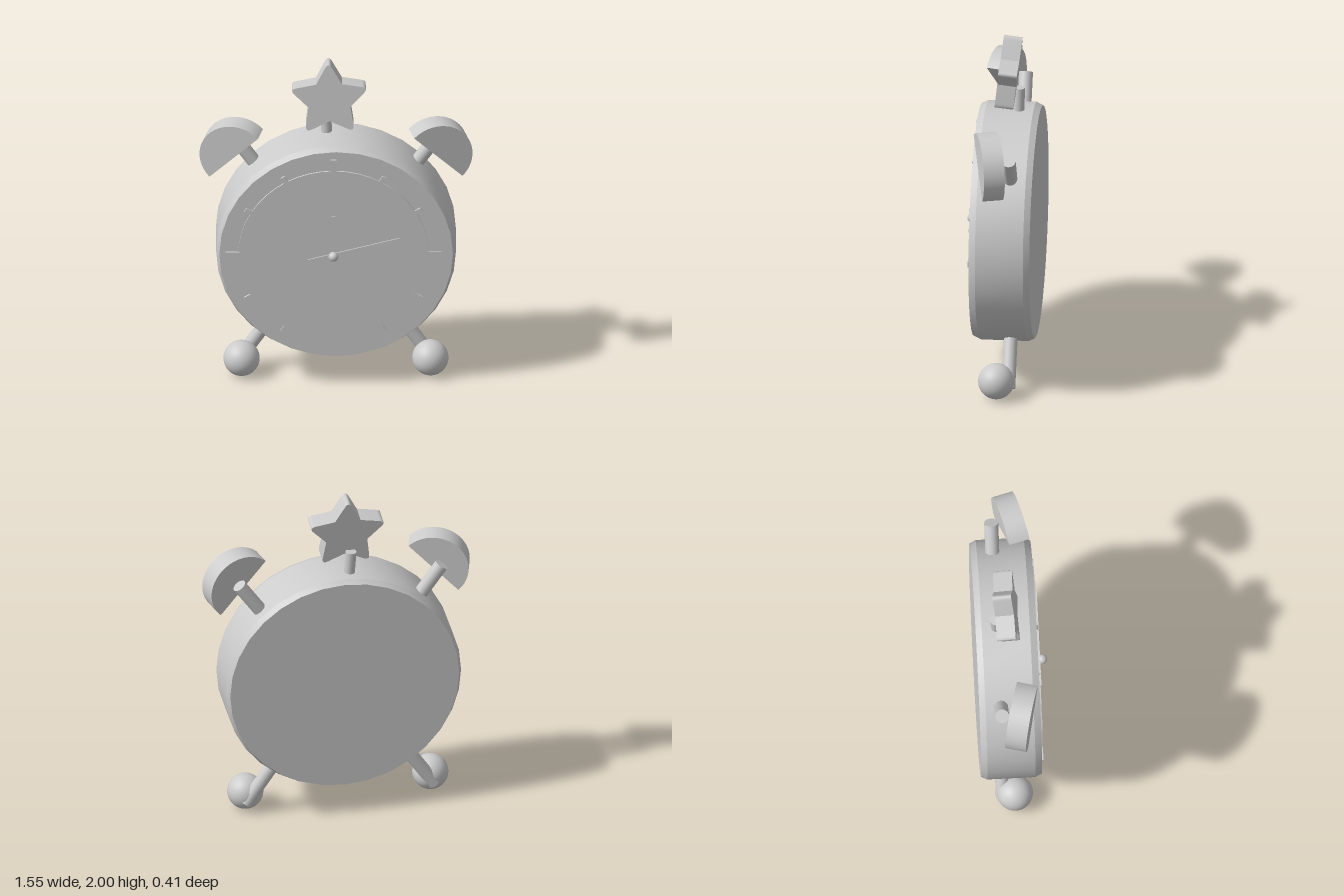
import * as THREE from 'three';
import { toCreasedNormals } from 'three/addons/utils/BufferGeometryUtils.js';

export function createModel() {
  const clock = new THREE.Group();
  clock.name = 'alarmClock';
  const grey = new THREE.MeshStandardMaterial({ color: 0xcccccc });
  const V = (x, y, z) => new THREE.Vector3(x, y, z);

  function add(name, geometry, x = 0, y = 0, z = 0, parent = clock) {
    const mesh = new THREE.Mesh(geometry, grey);
    mesh.name = name;
    mesh.position.set(x, y, z);
    parent.add(mesh);
    return mesh;
  }

  // Round rod between two points
  function rod(name, a, b, radius) {
    const mesh = add(name, new THREE.CylinderGeometry(radius, radius, a.distanceTo(b), 20));
    mesh.position.copy(a).lerp(b, 0.5);
    mesh.quaternion.setFromUnitVectors(V(0, 1, 0), b.clone().sub(a).normalize());
    return mesh;
  }

  // Extrusion centred on its own depth
  function slab(shape, depth, curveSegments) {
    const g = new THREE.ExtrudeGeometry(shape, { depth, bevelEnabled: false, curveSegments });
    g.translate(0, 0, -depth / 2);
    return toCreasedNormals(g, 0.5);
  }

  // Drum-shaped case with chamfered rims
  const profile = [[0, -0.203], [0.662, -0.203], [0.68, -0.168], [0.68, 0.105], [0.662, 0.143], [0, 0.143]]
    .map(([r, h]) => new THREE.Vector2(r, h));
  const body = add('case', toCreasedNormals(new THREE.LatheGeometry(profile, 32), 0.4), 0, 0.86, 0);
  body.rotation.x = Math.PI / 2;

  // Dial with hour marks and hands
  const face = new THREE.Group();
  face.name = 'face';
  face.position.set(-0.015, 0.862, 0);
  clock.add(face);
  const dial = add('dial', new THREE.CylinderGeometry(0.54, 0.54, 0.02, 48), 0, 0, 0.142, face);
  dial.rotation.x = Math.PI / 2;
  for (let i = 0; i < 12; i++) {
    const major = i % 3 === 0;
    const angle = (i * Math.PI) / 6;
    const [inner, outer, width] = major ? [0.53, 0.613, 0.034] : [0.51, 0.578, 0.026];
    const r = (inner + outer) / 2;
    const mark = add('hourMark', new THREE.BoxGeometry(outer - inner, width, 0.02),
      r * Math.cos(angle), r * Math.sin(angle), 0.143, face);
    mark.rotation.z = angle;
  }
  function hand(name, tail, tip, angle, z) {
    const g = new THREE.BoxGeometry(tip + tail, 0.024, 0.006);
    g.translate((tip - tail) / 2, 0, 0);
    add(name, g, 0, 0, z, face).rotation.z = angle;
  }
  hand('hourHand', 0.11, 0.25, Math.PI / 2, 0.156);
  hand('minuteHand', 0.15, 0.39, 0.26, 0.163);
  add('handPin', new THREE.SphereGeometry(0.028, 20, 14), 0, 0, 0.178, face);

  // Feet and bells, mirrored left and right
  const half = new THREE.Shape();
  half.absarc(0, 0, 0.2, 0, Math.PI, false);
  half.closePath();
  for (const s of [1, -1]) {
    const side = s > 0 ? 'left' : 'right';
    rod(side + 'Leg', V(s * 0.3, 0.435, -0.075), V(s * 0.545, 0.068, -0.075), 0.039);
    add(side + 'Foot', new THREE.SphereGeometry(0.103, 32, 20), s * 0.535, 0.105, -0.005);
    rod(side + 'BellPost', V(s * 0.38, 1.22, -0.08), V(s * 0.585, 1.515, -0.08), 0.04);
    const bell = add(side + 'Bell', slab(half, 0.12, 28), s * 0.565, 1.46, 0.037);
    bell.rotation.set(0, s * 0.255, -s * Math.PI / 4, 'YXZ');
  }

  // Star topper with rounded tips
  rod('starPost', V(-0.046, 1.45, -0.083), V(-0.06, 1.67, -0.088), 0.031);
  const polar = (r, a) => new THREE.Vector2(r * Math.cos(a), r * Math.sin(a));
  const star = new THREE.Shape();
  for (let i = 0; i < 5; i++) {
    const a = Math.PI / 2 + (i * 2 * Math.PI) / 5;
    const tip = polar(0.238, a);
    const before = tip.clone().lerp(polar(0.125, a - Math.PI / 5), 0.28);
    const notch = polar(0.125, a + Math.PI / 5);
    const after = tip.clone().lerp(notch, 0.28);
    if (i === 0) star.moveTo(before.x, before.y);
    else star.lineTo(before.x, before.y);
    star.quadraticCurveTo(tip.x, tip.y, after.x, after.y);
    star.lineTo(notch.x, notch.y);
  }
  star.closePath();
  const topper = add('star', slab(star, 0.107, 8), -0.038, 1.782, -0.03);
  topper.rotation.set(-0.11, 0, 0.02);

  return clock;
}
